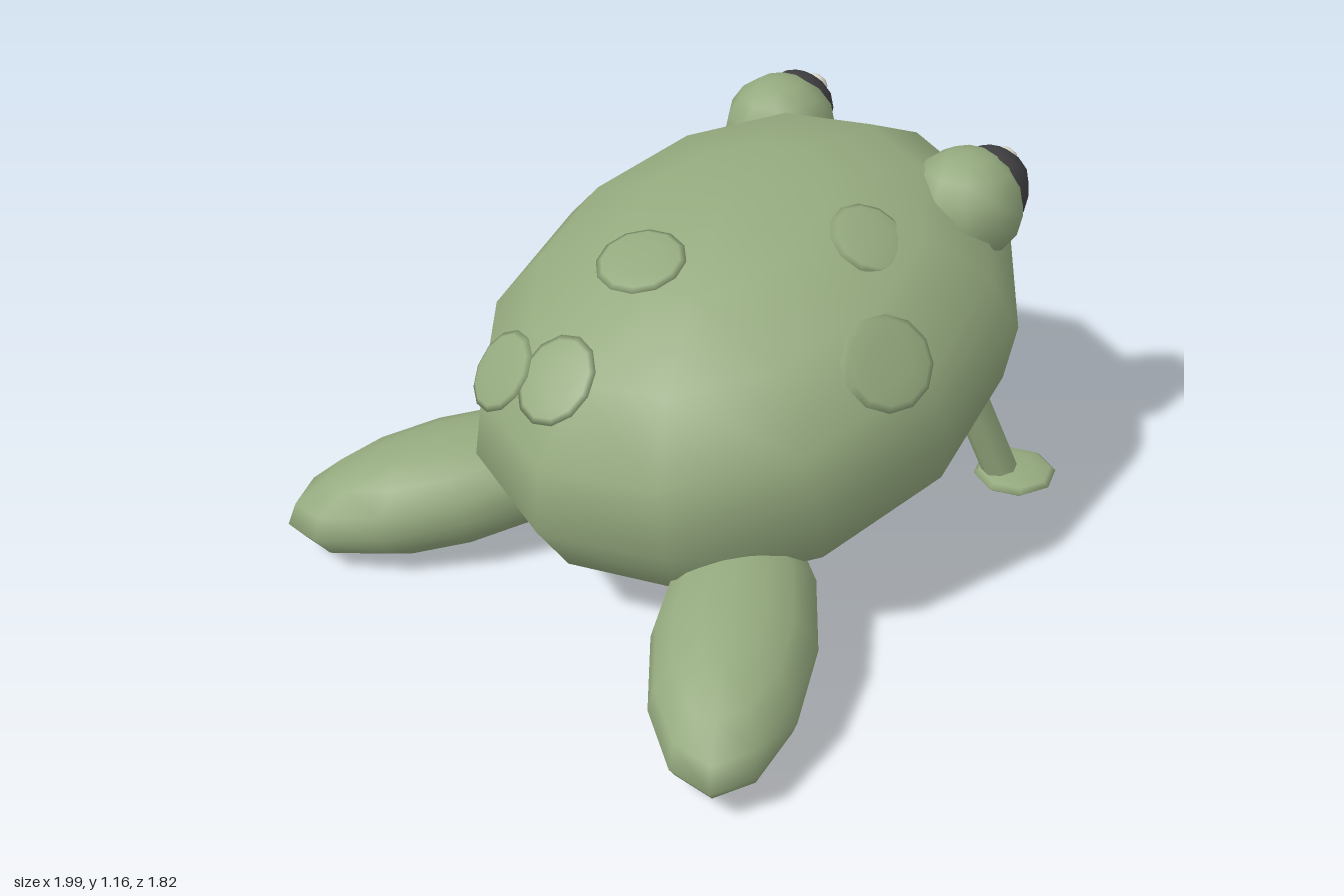
import * as THREE from 'three';

const mat = (name, color) => {
  const m = new THREE.MeshStandardMaterial({ color });
  m.name = name;
  return m;
};

export function createModel() {
  const green = mat('frog green', 0x94a97e);
  const pale = mat('belly cream', 0xd6d3c9);
  const dark = mat('pupil black', 0x404042);
  const white = mat('eye glint', 0xdedacd);

  const frog = new THREE.Group();
  frog.name = 'frog';

  // Smooth low-poly ellipsoid
  function blob(name, material, pos, radii, cols = 12, rows = 8) {
    const mesh = new THREE.Mesh(new THREE.SphereGeometry(1, cols, rows), material);
    mesh.name = name;
    mesh.position.set(...pos);
    mesh.scale.set(...radii);
    frog.add(mesh);
    return mesh;
  }

  // Tilted body, with the belly bulging out of its lower front
  blob('body', green, [0.12, 0.62, 0], [0.907, 0.515, 0.745]).rotation.z = 0.245;
  blob('belly', pale, [0.2, 0.47, 0], [0.74, 0.37, 0.65]);

  const up = new THREE.Vector3(0, 1, 0);
  for (const s of [1, -1]) {
    // Eyes
    blob('eyeball', green, [0.66, 0.99, s * 0.36], [0.175, 0.172, 0.175], 10, 8);
    blob('pupil', dark, [0.742, 1.013, s * 0.375], [0.13, 0.13, 0.125], 10, 8);
    blob('eyeGlint', white, [0.832, 1.07, s * 0.367], [0.04, 0.04, 0.04], 8, 6);

    // Hind legs, splayed backward
    const hind = blob('hindLeg', green, [-0.57, 0.205, s * 0.565], [0.51, 0.17, 0.23]);
    hind.rotation.set(0, s * 0.61, 0.165, 'YZX');

    // Front legs with flat round feet
    const top = new THREE.Vector3(0.665, 0.318, s * 0.432);
    const foot = new THREE.Vector3(0.745, 0.06, s * 0.5);
    const dir = top.clone().sub(foot);
    const leg = new THREE.Mesh(new THREE.CapsuleGeometry(0.054, dir.length(), 3, 8), green);
    leg.name = 'frontLeg';
    leg.position.copy(top).add(foot).multiplyScalar(0.5);
    leg.quaternion.setFromUnitVectors(up, dir.normalize());
    frog.add(leg);
    blob('frontFoot', green, [0.777, 0.052, s * 0.532], [0.13, 0.028, 0.128], 8, 6);
  }

  // Flat skin spots: position, facing direction, radii
  const spots = [
    [[-0.315, 1.07, -0.012], [-0.29, 0.957, 0], 0.125, 0.132],
    [[-0.677, 0.872, 0.02], [-0.7, 0.71, 0], 0.132, 0.12],
    [[-0.69, 0.82, -0.18], [-0.72, 0.6, -0.34], 0.12, 0.135],
    [[-0.03, 0.882, 0.63], [0, 0.68, 0.73], 0.168, 0.135],
    [[0.2, 1.07, 0.37], [-0.05, 0.86, 0.5], 0.12, 0.12],
    [[0.5, 0.86, -0.58], [0.22, 0.64, -0.74], 0.13, 0.13],
  ];
  for (const [pos, normal, rx, rz] of spots) {
    const spot = blob('skinSpot', green, pos, [rx, 0.016, rz], 12, 6);
    spot.quaternion.setFromUnitVectors(up, new THREE.Vector3(...normal).normalize());
  }

  return frog;
}
